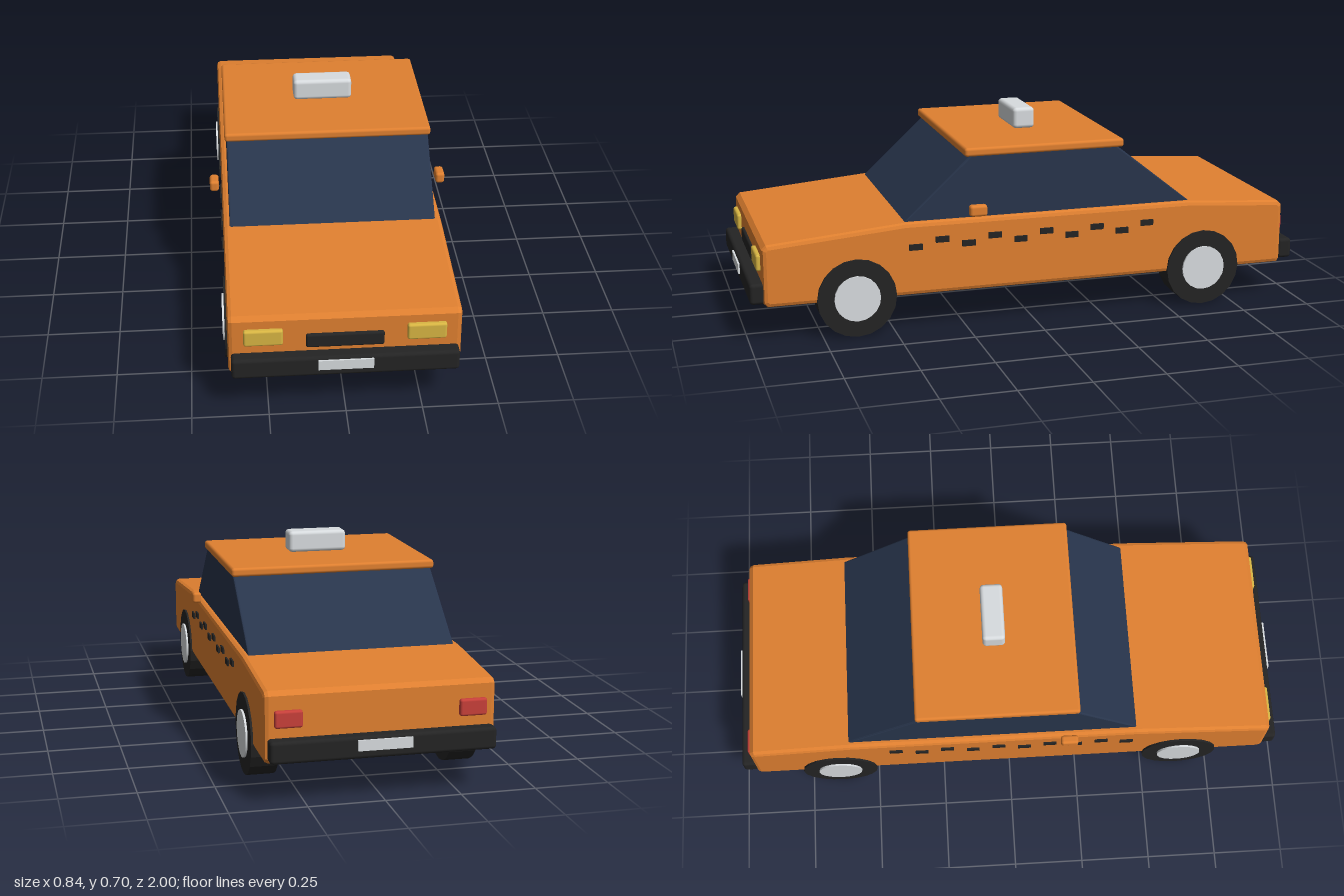
import * as THREE from 'three';
import { RoundedBoxGeometry } from 'three/addons/geometries/RoundedBoxGeometry.js';

const paint = (name, color) => {
  const m = new THREE.MeshStandardMaterial({ color });
  m.name = name;
  return m;
};

export function createModel() {
  const orange = paint('orange paint', 0xe08030);
  const glass = paint('dark blue glass', 0x28354c);
  const black = paint('black rubber', 0x242424);
  const white = paint('pale grey', 0xd8dcdf);
  const yellow = paint('headlight yellow', 0xd9b643);
  const red = paint('tail light red', 0xc8403a);

  const car = new THREE.Group();
  car.name = 'car';

  const add = (name, geometry, material, x = 0, y = 0, z = 0) => {
    const mesh = new THREE.Mesh(geometry, material);
    mesh.name = name;
    mesh.position.set(x, y, z);
    car.add(mesh);
    return mesh;
  };
  const box = (name, material, w, h, d, x, y, z, r = 0.008) =>
    add(name, new RoundedBoxGeometry(w, h, d, 2, r), material, x, y, z);

  // Side profile in (z, y), extruded across the car with a bevel on both sides
  const slab = (profile, halfWidth, bevel) => {
    const shape = new THREE.Shape(profile.map(([z, y]) => new THREE.Vector2(z, y)));
    const geo = new THREE.ExtrudeGeometry(shape, {
      depth: 2 * (halfWidth - bevel), bevelEnabled: true, bevelSize: bevel,
      bevelThickness: bevel, bevelOffset: -bevel, bevelSegments: 2,
    });
    geo.translate(0, 0, -(halfWidth - bevel));
    return geo.rotateY(-Math.PI / 2);
  };

  // Lower body: sloping bonnet and boot
  add('body', slab([
    [-0.935, 0.128], [0.935, 0.128], [0.95, 0.143], [0.95, 0.33], [0.935, 0.345],
    [0.46, 0.386], [-0.58, 0.386], [-0.93, 0.361], [-0.945, 0.346], [-0.945, 0.143],
  ], 0.377, 0.015), orange);

  // Glass cabin, roof and roof sign
  add('cabinGlass', slab([[0.465, 0.38], [0.222, 0.605], [-0.305, 0.605], [-0.59, 0.38]],
    0.354, 0.006), glass);
  box('roof', orange, 0.722, 0.031, 0.577, 0, 0.614, -0.043, 0.01);
  box('roofSign', white, 0.21, 0.076, 0.08, 0, 0.667, -0.042, 0.014);

  // Bumpers, plates and lights at both ends
  for (const s of [1, -1]) {
    const end = s > 0 ? 'front' : 'rear';
    box(end + 'Bumper', black, 0.735, 0.073, 0.053, 0, 0.176, s * 0.9675, 0.012);
    add(end + 'Plate', new THREE.BoxGeometry(0.178, 0.035, 0.008), white, 0, 0.185, s * 0.996);
  }
  box('grille', black, 0.253, 0.051, 0.03, 0, 0.252, 0.945);

  // Parts mirrored left and right
  const tyre = new THREE.CylinderGeometry(0.1375, 0.1375, 0.092, 20).toNonIndexed();
  tyre.computeVertexNormals();
  tyre.rotateZ(Math.PI / 2);
  const hub = new THREE.CylinderGeometry(0.08, 0.08, 0.03, 20).rotateZ(Math.PI / 2);
  const dash = new THREE.BoxGeometry(0.008, 0.021, 0.047);
  for (const s of [1, -1]) {
    const side = s > 0 ? 'left' : 'right';
    box(side + 'Headlight', yellow, 0.127, 0.058, 0.03, s * 0.263, 0.273, 0.95);
    box(side + 'TailLight', red, 0.09, 0.056, 0.03, s * 0.3, 0.272, -0.945);
    box(side + 'Mirror', orange, 0.032, 0.04, 0.062, s * 0.402, 0.421, 0.212, 0.01);

    for (const z of [0.633, -0.635]) {
      const end = z > 0 ? 'Front' : 'Rear';
      add(side + end + 'Tyre', tyre, black, s * 0.338, 0.1375, z);
      add(side + end + 'Hub', hub, white, s * 0.376, 0.1375, z);
    }

    // Staggered row of checker dashes
    for (let i = 0; i < 10; i++) {
      add(side + 'CheckerDash', dash, black, s * 0.379, i % 2 ? 0.322 : 0.301, 0.426 - i * 0.0935);
    }
  }
  return car;
}
